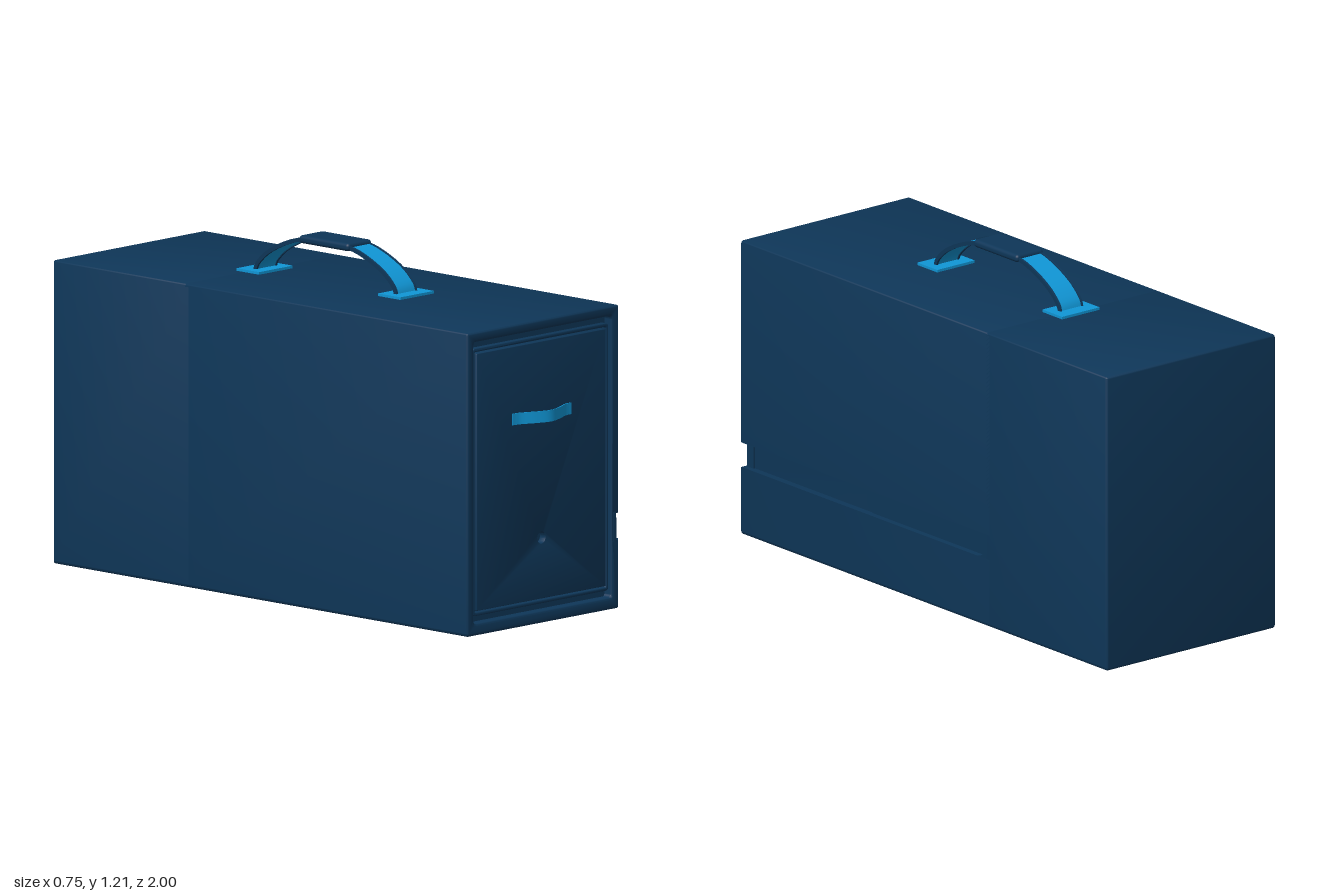
import * as THREE from 'three';
import { toCreasedNormals } from 'three/addons/utils/BufferGeometryUtils.js';
import { RoundedBoxGeometry } from 'three/addons/geometries/RoundedBoxGeometry.js';

export function createModel() {
  const navy = new THREE.MeshStandardMaterial({ color: 0x0e3658 });
  navy.name = 'navy shell';
  const blue = new THREE.MeshStandardMaterial({ color: 0x1096d6 });
  blue.name = 'bright blue webbing';
  const model = new THREE.Group();
  model.name = 'storageCase';

  const add = (name, geometry, material, x = 0, y = 0, z = 0) => {
    const mesh = new THREE.Mesh(geometry, material);
    mesh.name = name;
    mesh.position.set(x, y, z);
    model.add(mesh);
    return mesh;
  };
  const extrude = (shape, depth, bevel = 0) => toCreasedNormals(new THREE.ExtrudeGeometry(shape, {
    depth, curveSegments: 10, bevelEnabled: bevel > 0, bevelThickness: bevel,
    bevelSize: bevel, bevelOffset: -bevel, bevelSegments: 3,
  }), 0.6);

  // Rounded rectangle, optionally with a notch cut into its right edge
  const W = 0.375, H = 1.055, SLOT0 = 0.242, SLOT1 = 0.33, FLOOR = 0.349;
  const rect = (x0, y0, x1, y1, r, notched = false, Type = THREE.Shape) => {
    const s = new Type();
    s.moveTo(x0 + r, y0);
    s.lineTo(x1 - r, y0);
    s.quadraticCurveTo(x1, y0, x1, y0 + r);
    if (notched) {
      s.lineTo(x1, SLOT0);
      s.lineTo(FLOOR, SLOT0);
      s.lineTo(FLOOR, SLOT1);
      s.lineTo(x1, SLOT1);
    }
    s.lineTo(x1, y1 - r);
    s.quadraticCurveTo(x1, y1, x1 - r, y1);
    s.lineTo(x0 + r, y1);
    s.quadraticCurveTo(x0, y1, x0, y1 - r);
    s.lineTo(x0, y0 + r);
    s.quadraticCurveTo(x0, y0, x0 + r, y0);
    return s;
  };

  // Case: solid rear part, then a hollow front part with the side slot
  const B = 0.008, slotEnd = -0.35;
  add('caseRear', extrude(rect(-W, 0, W, H, 0.012), 1 + slotEnd - 2 * B, B), navy, 0, 0, -1 + B);
  const front = rect(-W, 0, W, H, 0.012, true);
  front.holes.push(rect(-0.341, 0.042, 0.338, 1.02, 0.012, false, THREE.Path));
  const start = slotEnd - 3 * B;
  add('caseFront', extrude(front, 0.96 - B - start, B), navy, 0, 0, start);

  // Rounded closed end of the slot
  const midY = (SLOT0 + SLOT1) / 2, R = (SLOT1 - SLOT0) / 2;
  const end = new THREE.Shape();
  end.moveTo(slotEnd + R, SLOT0);
  end.absarc(slotEnd + R, midY, R, -Math.PI / 2, -Math.PI * 1.5, true);
  end.lineTo(slotEnd - 0.02, SLOT1);
  end.lineTo(slotEnd - 0.02, SLOT0);
  add('slotEnd', extrude(end, 0.03).rotateY(-Math.PI / 2), navy, W);

  // Slider lying in the slot and the stop at its mouth
  const slider = new THREE.Shape();
  const sr = R - 0.001;
  slider.absarc(0.31 - R, midY, sr, -Math.PI / 2, Math.PI / 2, false);
  slider.absarc(slotEnd + R, midY, sr, Math.PI / 2, Math.PI * 1.5, false);
  add('slotSlider', extrude(slider, 0.008).rotateY(-Math.PI / 2), navy, FLOOR + 0.006);
  add('slotStop', new THREE.BoxGeometry(0.008, SLOT1 - SLOT0, 0.036), navy, FLOOR + 0.003, midY, 0.93);

  // Recessed door: backing, raised lip and panel with a round finger hole
  add('doorBacking', new THREE.BoxGeometry(0.69, 0.99, 0.02), navy, 0, 0.53, 0.915);
  const lip = rect(-0.336, 0.065, 0.336, 0.995, 0.015);
  lip.holes.push(rect(-0.324, 0.077, 0.324, 0.983, 0.006, false, THREE.Path));
  add('doorLip', extrude(lip, 0.018, 0.003), navy, 0, 0, 0.926);
  const panel = rect(-0.318, 0.083, 0.318, 0.977, 0.004);
  const hole = new THREE.Path();
  hole.absarc(0, 0.295, 0.02, 0, Math.PI * 2, true);
  panel.holes.push(hole);
  add('doorPanel', extrude(panel, 0.025, 0.002), navy, 0, 0, 0.924);

  // Band following a curve, of even thickness, extruded to a width
  const band = (points, thickness, width) => {
    const curve = new THREE.SplineCurve(points.map(p => new THREE.Vector2(...p)));
    const upper = [], lower = [];
    for (let i = 0; i <= 32; i++) {
      const p = curve.getPoint(i / 32), t = curve.getTangent(i / 32);
      const n = new THREE.Vector2(-t.y, t.x).multiplyScalar(thickness / 2);
      upper.push(p.clone().add(n));
      lower.unshift(p.clone().sub(n));
    }
    return extrude(new THREE.Shape([...upper, ...lower]), width).translate(0, 0, -width / 2);
  };

  // Bowed pull tab on the door
  const tab = band([[-0.145, 0.952], [-0.11, 0.957], [-0.055, 0.982], [0, 0.997],
    [0.055, 0.982], [0.11, 0.957], [0.145, 0.952]], 0.004, 0.04);
  add('pullTab', tab.rotateX(Math.PI / 2), blue, 0, 0.725, 0);

  // Carrying handle: strap with dark edging, grip and anchor plates
  const C = -0.023;
  const arc = [[-0.333, 1.058], [-0.32, 1.088], [-0.27, 1.132], [-0.19, 1.172], [-0.11, 1.195],
    [0, 1.2], [0.11, 1.195], [0.19, 1.172], [0.27, 1.132], [0.32, 1.088], [0.333, 1.058]];
  add('handleStrap', band(arc, 0.008, 0.088).rotateY(-Math.PI / 2), blue, 0, 0, C);
  for (const side of [-1, 1]) {
    add(side > 0 ? 'strapEdgeLeft' : 'strapEdgeRight',
      band(arc, 0.014, 0.008).rotateY(-Math.PI / 2), navy, side * 0.047, 0, C);
    add(side > 0 ? 'anchorFront' : 'anchorRear',
      new THREE.BoxGeometry(0.166, 0.012, 0.106), blue, 0, 1.058, C + side * 0.334);
  }
  add('handleGrip', new RoundedBoxGeometry(0.12, 0.028, 0.236, 4, 0.012), navy, 0, 1.197, C);

  return model;
}
